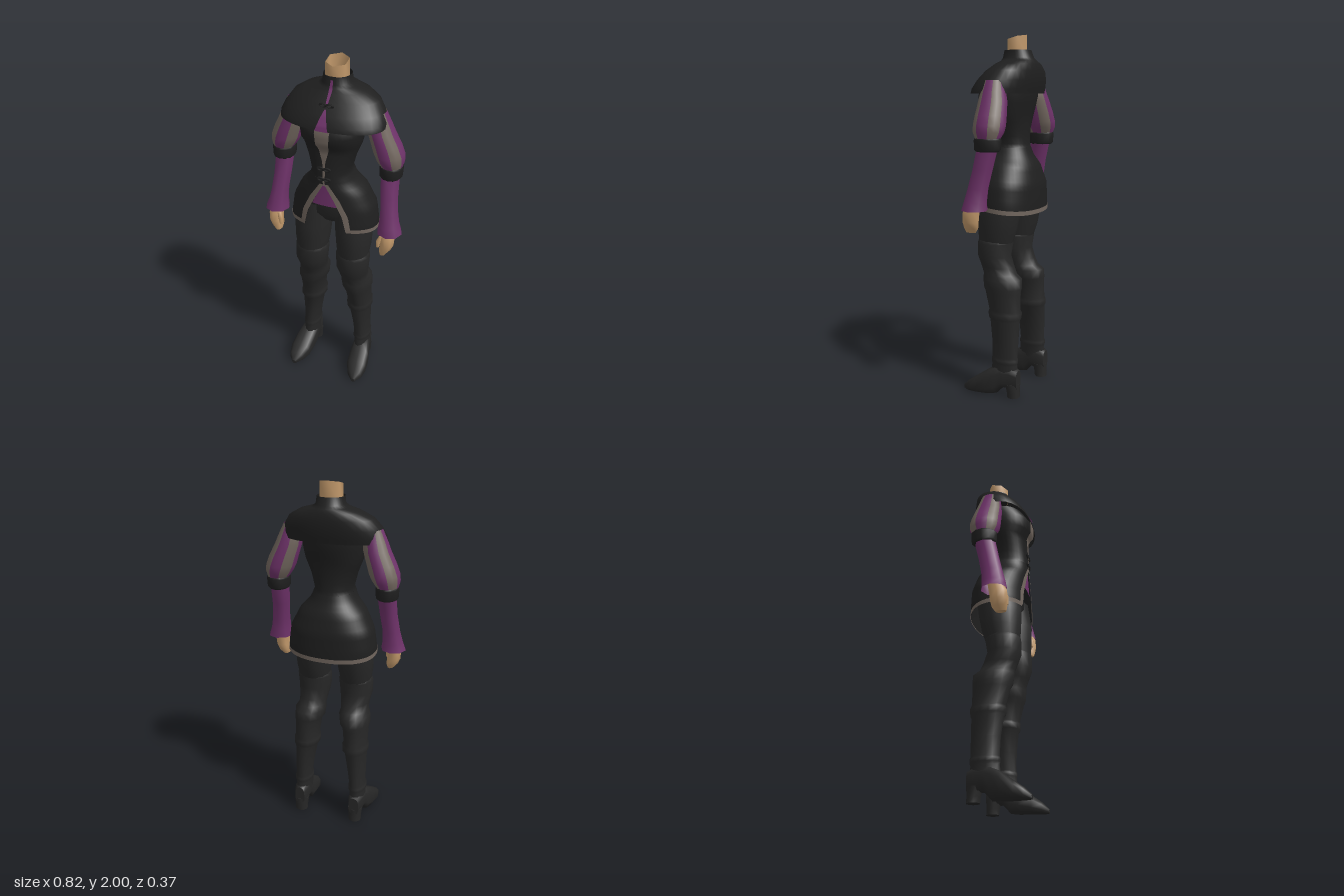
import * as THREE from 'three';

const mat = (name, color) => new THREE.MeshStandardMaterial({ name, color, side: THREE.DoubleSide });
const M = {
  jacket: mat('jacket black', 0x1f1f1f),
  leather: mat('legwear black', 0x272727),
  purple: mat('purple cloth', 0x6e3269),
  grey: mat('grey trim', 0x71665e),
  skin: mat('skin', 0xc2996b),
};

const lerp = THREE.MathUtils.lerp;

// Interpolate a table of rows [y, ...values], ascending in y
function at(table, y) {
  let i = 0;
  while (i < table.length - 2 && y > table[i + 1][0]) i++;
  const a = table[i], b = table[i + 1];
  const t = THREE.MathUtils.clamp((y - a[0]) / (b[0] - a[0]), 0, 1);
  return a.slice(1).map((v, k) => lerp(v, b[k + 1], t));
}

// Skin cross-sections; s = -1 mirrors, column(c) true picks the second material
function loft(name, rings, material, { closed = true, caps = false, s = 1, column } = {}) {
  const n = rings[0].length, cols = closed ? n : n - 1;
  const pos = [], idx = [[], []];
  rings.forEach(r => r.forEach(p => pos.push(p[0] * s, p[1], p[2])));
  const tri = (g, a, b, c) => (s > 0 ? idx[g].push(a, b, c) : idx[g].push(a, c, b));
  for (let i = 0; i < rings.length - 1; i++) {
    for (let j = 0; j < cols; j++) {
      const a = i * n + j, b = i * n + (j + 1) % n, g = column && column(j) ? 1 : 0;
      tri(g, a, b, a + n);
      tri(g, b, b + n, a + n);
    }
  }
  if (caps) {
    [rings[0], rings[rings.length - 1]].forEach((r, end) => {
      const base = pos.length / 3;
      r.forEach(p => pos.push(p[0] * s, p[1], p[2]));
      for (let j = 1; j < n - 1; j++) {
        if (end) tri(0, base, base + j, base + j + 1);
        else tri(0, base, base + j + 1, base + j);
      }
    });
  }
  const geo = new THREE.BufferGeometry();
  geo.setAttribute('position', new THREE.Float32BufferAttribute(pos, 3));
  geo.setIndex([...idx[0], ...idx[1]]);
  if (column) {
    geo.addGroup(0, idx[0].length, 0);
    geo.addGroup(idx[0].length, idx[1].length, 1);
  }
  geo.computeVertexNormals();
  const mesh = new THREE.Mesh(geo, material);
  mesh.name = name;
  return mesh;
}

// Upright limb from rows [x, y, z, rx, rz], listed from top to bottom
function limb(name, rows, material, sides = 12, opts = {}) {
  const rings = rows.slice().reverse().map(([x, y, z, rx, rz]) =>
    Array.from({ length: sides }, (_, j) => {
      const t = (j / sides) * Math.PI * 2;
      return [x + rx * Math.sin(t), y, z + rz * Math.cos(t)];
    }));
  return loft(name, rings, material, opts);
}

// Body surfaces: [y, half width, front z, back z]
const BODY = [
  [1.03, .25, .135, -.185], [1.1, .25, .14, -.187], [1.2, .235, .137, -.185], [1.3, .185, .135, -.16],
  [1.36, .128, .135, -.128], [1.42, .105, .135, -.11], [1.5, .125, .132, -.11], [1.575, .155, .132, -.12],
  [1.61, .165, .16, -.13], [1.68, .175, .163, -.145], [1.74, .17, .125, -.15],
];
const CAPE = [
  [1.69, .285, .165, -.15], [1.715, .283, .158, -.155], [1.76, .265, .13, -.165], [1.81, .23, .085, -.165],
  [1.845, .17, .05, -.16], [1.865, .1, .035, -.15], [1.88, .076, .03, -.138], [1.92, .072, .02, -.122],
];
const E = 0.88;
const pw = (v, e) => Math.sign(v) * Math.abs(v) ** e;

function surf(table, t, y, k = 1) {
  const [rx, zf, zb] = at(table, y);
  return [k * rx * pw(Math.sin(t), E), y, (zf + zb) / 2 + k * (zf - zb) / 2 * pw(Math.cos(t), E)];
}
const angleAt = (table, x, y) => Math.asin(pw(THREE.MathUtils.clamp(x / at(table, y)[0], -1, 1), 1 / E));

function shell(name, table, ys, material) {
  const n = 32;
  return loft(name, ys.map(y => Array.from({ length: n }, (_, j) => surf(table, (j / n) * Math.PI * 2, y))), material);
}

// Thin panel lying on the front of a body surface, rows [y, x0, x1] ascending
function panel(name, table, rows, off, material) {
  const rings = [], steps = 16;
  for (let i = 0; i <= steps; i++) {
    const y = lerp(rows[0][0], rows[rows.length - 1][0], i / steps), [x0, x1] = at(rows, y);
    rings.push(Array.from({ length: 7 }, (_, j) => {
      const p = surf(table, angleAt(table, lerp(x0, x1, j / 6), y), y);
      p[2] += off;
      return p;
    }));
  }
  return loft(name, rings, material, { closed: false });
}

// Coat skirt with a flared front opening
const OPENING = [[1.085, .122], [1.18, .1], [1.28, .052], [1.37, .002], [1.4, .001]];
const hem = t => 1.062 + .022 * Math.cos(t);
function skirtRing(yFront, yOf, k) {
  const a = angleAt(BODY, at(OPENING, yFront)[0], yFront);
  return Array.from({ length: 41 }, (_, j) => {
    const t = lerp(a, Math.PI * 2 - a, j / 40);
    return surf(BODY, t, yOf(t), k);
  });
}

export function createModel() {
  const root = new THREE.Group();
  root.name = 'headlessOutfitFigure';
  const add = (...m) => root.add(...m);

  // Neck, open with a slanted rim
  const neck = [[1.88, 0], [1.975, .03]].map(([y, slope]) => Array.from({ length: 6 }, (_, j) => {
    const t = (j / 6) * Math.PI * 2, c = Math.cos(t);
    return [.062 * Math.sin(t), y + slope * (1 - c) / 2 - (slope ? .005 : 0), -.045 + .06 * c];
  }));
  add(loft('neck', neck, M.skin));
  add(limb('collarFloor', [[0, 1.9, -.045, .06, .06], [0, 1.885, -.045, .06, .06]], M.jacket, 12, { caps: true }));

  // Bodice, shoulder cape with collar, and skirt
  add(shell('bodice', BODY, [1.4, 1.42, 1.46, 1.5, 1.54, 1.575, 1.61, 1.645, 1.68, 1.74], M.jacket));
  add(shell('shoulderCape', CAPE, CAPE.map(r => r[0]), M.jacket));
  const skirt = [];
  for (let i = 0; i <= 14; i++) {
    const v = 1 - i / 14;
    skirt.push(skirtRing(lerp(1.4, 1.085, v), t => lerp(1.4, hem(t), v), 1));
  }
  add(loft('coatSkirt', skirt, M.jacket, { closed: false }));
  add(loft('hemTrim', [0, .01, .024].map(d => skirtRing(1.085 + d, t => hem(t) + d - .002, 1.012)), M.grey, { closed: false }));
  for (const s of [1, -1]) {
    const rows = OPENING.slice(0, 4).map(([y, w], i) => {
      const o = w + [.026, .032, .032, .022][i];
      return s > 0 ? [y, w, o] : [y, -o, -w];
    });
    add(panel('openingTrim', BODY, rows, .005, M.grey));
  }

  // Front insets
  add(panel('underskirt', BODY, [[1.23, -.075, .075], [1.28, -.055, .055], [1.38, -.008, .008]], -.006, M.purple));
  add(panel('shirtInset', BODY, [[1.36, -.005, .005], [1.5, -.008, .008], [1.535, -.018, .018], [1.6, -.034, .034], [1.69, -.042, .042]], .005, M.grey));
  add(panel('chestInset', CAPE, [[1.69, -.036, .036], [1.74, -.02, .02], [1.785, -.004, .004]], .005, M.purple));
  add(panel('collarSlit', CAPE, [[1.8, -.006, .006], [1.86, -.009, .009], [1.905, -.006, .006]], .005, M.purple));
  for (const [table, y] of [[CAPE, 1.8], [BODY, 1.46], [BODY, 1.4]]) {
    const z = at(table, y)[1];
    for (const s of [1, -1]) {
      const loop = new THREE.Mesh(new THREE.TorusGeometry(.011, .005, 6, 10), M.jacket);
      loop.name = 'claspLoop';
      loop.scale.set(1.5, .8, 1);
      loop.position.set(s * .018, y, z + .004);
      add(loop);
    }
  }

  // Pelvis
  add(limb('pelvis', [[0, 1.35, -.005, .11, .1], [0, 1.25, -.015, .18, .115], [0, 1.15, -.015, .2, .115], [0, 1.09, -.01, .1, .07]],
    M.leather, 16, { caps: true }));

  for (const s of [1, -1]) {
    const side = new THREE.Group();
    side.name = s > 0 ? 'leftLimbs' : 'rightLimbs';
    const o = { s }, capped = { s, caps: true };

    // Striped puff sleeve, cuff, lower sleeve
    side.add(limb('puffSleeve', [[.225, 1.76, -.03, .045, .055], [.235, 1.7, -.032, .064, .068], [.247, 1.65, -.036, .073, .078],
      [.275, 1.58, -.04, .08, .085], [.292, 1.53, -.042, .082, .088], [.302, 1.495, -.042, .075, .085], [.31, 1.46, -.042, .058, .068]],
    [M.grey, M.purple], 16, { s, column: c => Math.floor((c + 1) / 2) % 2 === 0 }));
    side.add(limb('sleeveCuff', [[.31, 1.465, -.042, .058, .07], [.31, 1.455, -.042, .064, .075], [.31, 1.405, -.04, .061, .073],
      [.31, 1.395, -.04, .053, .062]], M.jacket, 12, capped));
    side.add(limb('lowerSleeve', [[.307, 1.4, -.035, .052, .06], [.313, 1.3, -.012, .05, .058], [.325, 1.2, .01, .05, .06],
      [.333, 1.13, .022, .058, .066], [.338, 1.085, .026, .07, .072]], M.purple, 8, o));

    // Hand with a curled thumb
    side.add(limb('hand', [[.335, 1.13, .03, .032, .042], [.336, 1.07, .048, .04, .05], [.335, 1.02, .052, .038, .048],
      [.325, .985, .054, .032, .042], [.318, .96, .06, .018, .03]], M.skin, 8, capped));
    side.add(limb('thumb', [[.31, 1.08, .07, .014, .016], [.296, 1.05, .08, .014, .016], [.292, 1.01, .082, .009, .012]],
      M.skin, 6, capped));

    // Thigh and tall boot with banded cuffs
    side.add(limb('thigh', [[.11, 1.2, -.02, .1, .125], [.122, 1.05, 0, .106, .124], [.125, .95, .008, .1, .112],
      [.125, .87, .018, .088, .095]], M.leather, 14, o));
    side.add(limb('bootShaft', [[.125, .895, .02, .088, .092], [.126, .875, .02, .099, .1], [.127, .8, .027, .095, .094],
      [.127, .74, .005, .082, .095], [.13, .7, -.012, .079, .097], [.135, .675, -.03, .089, .114], [.14, .625, -.034, .087, .113],
      [.145, .6, -.038, .075, .105], [.15, .5, -.052, .068, .093], [.15, .485, -.054, .077, .098], [.151, .455, -.054, .076, .097],
      [.154, .44, -.056, .064, .088], [.163, .33, -.062, .053, .08], [.169, .23, -.063, .045, .077], [.17, .218, -.063, .052, .081],
      [.17, .2, -.063, .052, .081], [.17, .185, -.062, .046, .077], [.173, .12, -.06, .046, .085]], M.leather, 14, o));

    // Foot rows: z, centre x, half width, sole y, top y (toe to heel)
    const foot = [[.185, .202, .012, 0, .025], [.15, .2, .046, 0, .06], [.1, .193, .063, 0, .095], [.03, .187, .062, 0, .145],
      [-.02, .18, .055, .006, .175], [-.06, .175, .048, .05, .18], [-.11, .172, .044, .05, .18], [-.15, .172, .03, .05, .16]]
      .map(([z, x, w, y0, y1]) => Array.from({ length: 10 }, (_, j) => {
        const t = (j / 10) * Math.PI * 2;
        return [x + w * pw(Math.sin(t), .7), (y0 + y1) / 2 + (y1 - y0) / 2 * pw(Math.cos(t), .7), z];
      }));
    side.add(loft('bootFoot', foot, M.leather, capped));
    side.add(limb('bootHeel', [[.172, .08, -.112, .044, .043], [.172, .03, -.118, .038, .037], [.172, 0, -.12, .038, .036]],
      M.leather, 10, capped));
    add(side);
  }
  return root;
}
